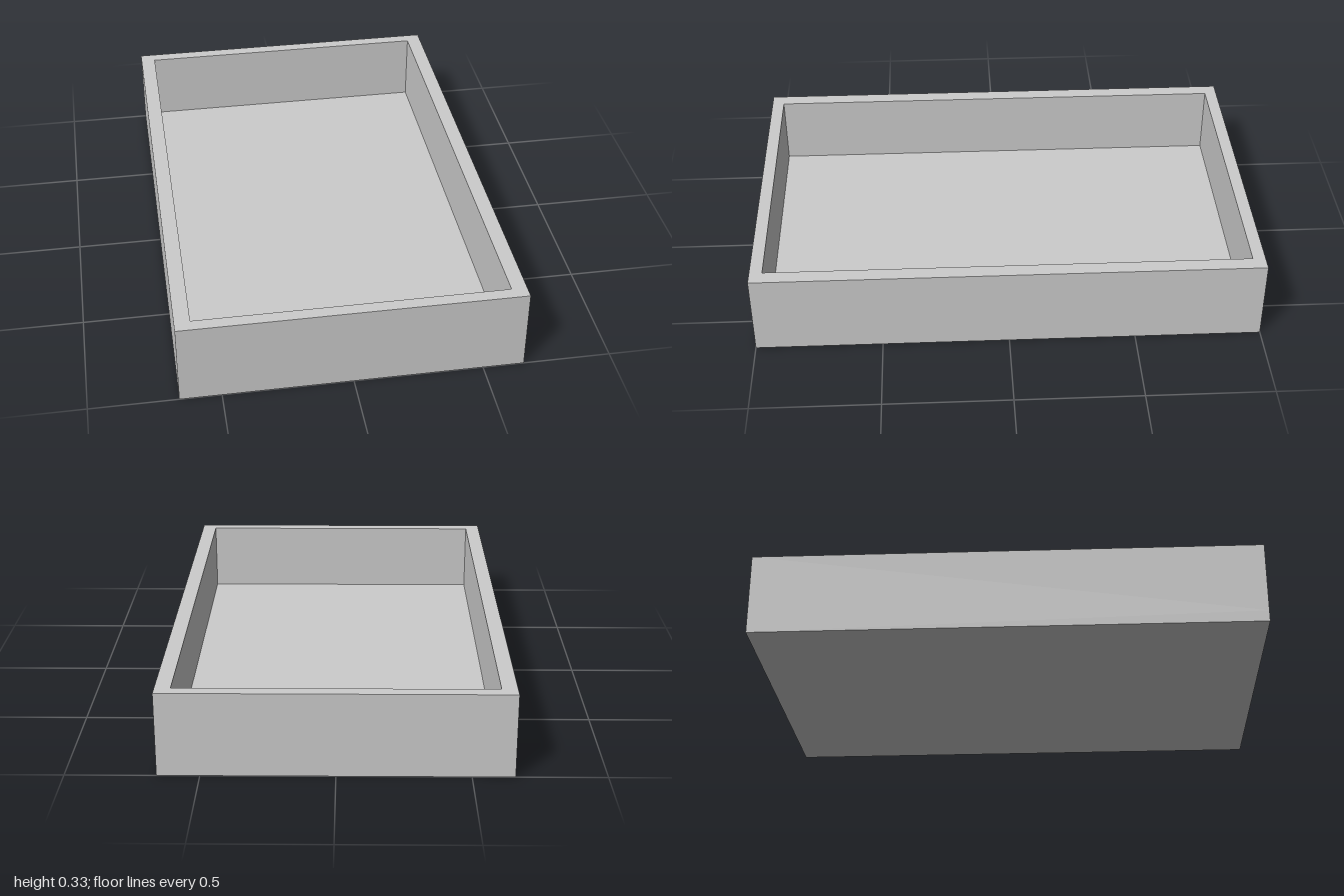
import * as THREE from 'three';

const WIDTH = 1.32, LENGTH = 2, HEIGHT = 0.33;
const INNER_WIDTH = 1.2, INNER_LENGTH = 1.9, FLOOR = 0.045;

// Corners of a centred rectangle
function rectangle(w, l) {
  return [[-1, -1], [1, -1], [1, 1], [-1, 1]].map(([x, y]) => new THREE.Vector2(x * w / 2, y * l / 2));
}

export function createModel() {
  const group = new THREE.Group();
  group.name = 'openTray';
  const material = new THREE.MeshStandardMaterial({ color: 0xcccccc });

  // Solid base slab
  const floor = new THREE.Mesh(new THREE.BoxGeometry(WIDTH, FLOOR, LENGTH), material);
  floor.name = 'floor';
  floor.position.y = FLOOR / 2;

  // Continuous wall frame standing on the slab
  const outline = new THREE.Shape(rectangle(WIDTH, LENGTH));
  outline.holes.push(new THREE.Path(rectangle(INNER_WIDTH, INNER_LENGTH).reverse()));
  const frame = new THREE.ExtrudeGeometry(outline, { depth: HEIGHT - FLOOR, bevelEnabled: false });
  frame.rotateX(-Math.PI / 2);
  const walls = new THREE.Mesh(frame, material);
  walls.name = 'walls';
  walls.position.y = FLOOR;

  group.add(floor, walls);
  return group;
}
